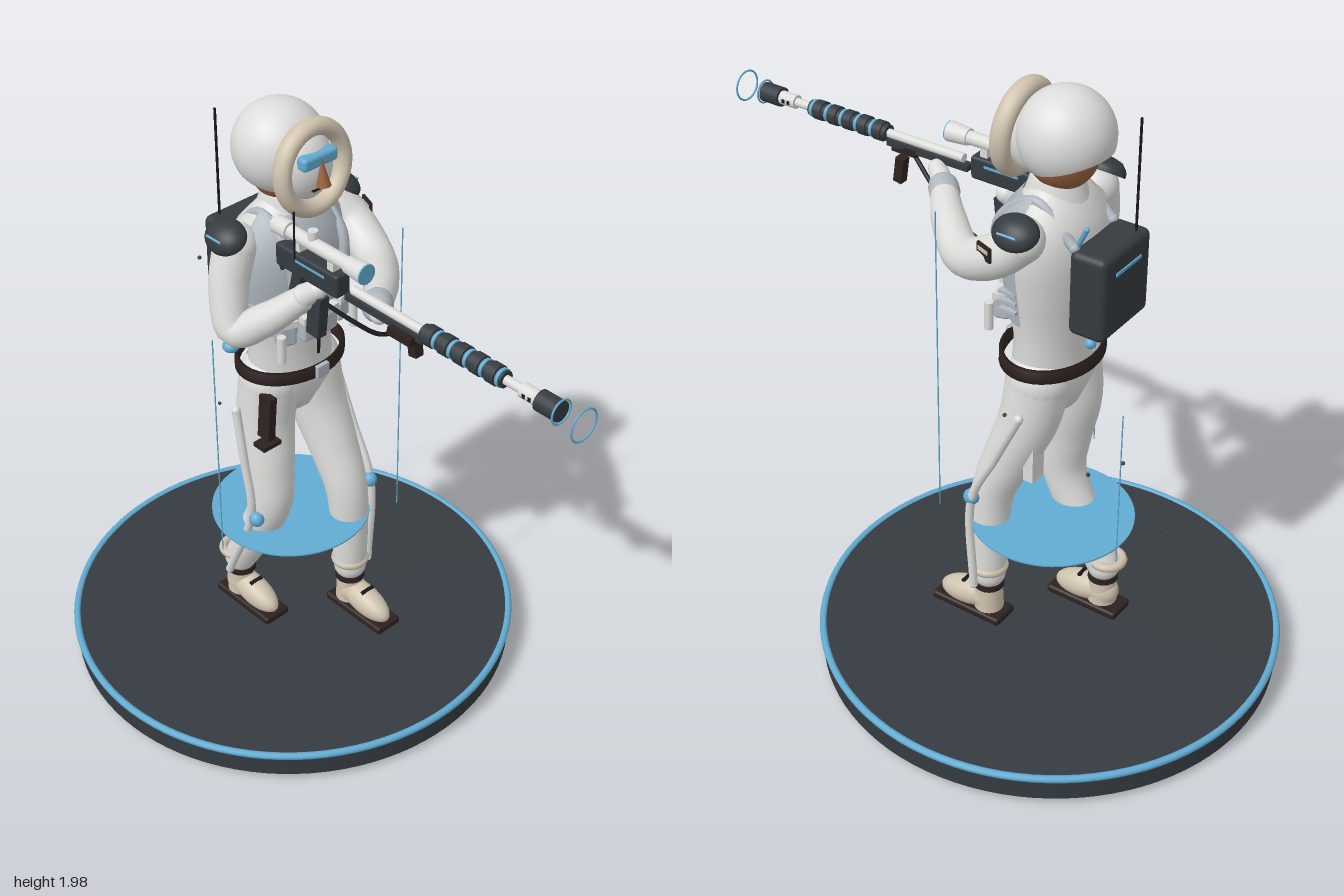
import * as THREE from 'three';
import { RoundedBoxGeometry } from 'three/addons/geometries/RoundedBoxGeometry.js';

const mat = (name, color, side = THREE.FrontSide) => Object.assign(new THREE.MeshStandardMaterial({ color, side }), { name });
const V = (p) => new THREE.Vector3(...p);

export function createModel() {
  const root = new THREE.Group();
  root.name = 'winterSoldier';
  const white = mat('snow white', 0xdcdcda, THREE.DoubleSide);
  const grey = mat('vest grey', 0xb0b8c0, THREE.DoubleSide);
  const slate = mat('dark slate', 0x353b40);
  const blue = mat('ice blue', 0x62abd2, THREE.DoubleSide);
  const cream = mat('fur cream', 0xcfc2ae);
  const leather = mat('dark leather', 0x2e2220, THREE.DoubleSide);
  const skin = mat('skin brown', 0x99623e);
  const black = mat('black', 0x16191c);

  // helpers
  const put = (name, geo, m, p = [0, 0, 0], r = [0, 0, 0], s = [1, 1, 1]) => {
    const mesh = new THREE.Mesh(geo, m);
    mesh.name = name;
    mesh.position.set(...p);
    mesh.rotation.set(...r);
    mesh.scale.set(...s);
    root.add(mesh);
    return mesh;
  };
  const box = (name, m, size, p, r) => put(name, new THREE.BoxGeometry(...size), m, p, r);
  const soft = (name, m, size, p, r, rad = 0.01) => put(name, new RoundedBoxGeometry(...size, 3, rad), m, p, r);
  const ball = (name, m, size, p, r) => put(name, new THREE.SphereGeometry(1, 28, 20), m, p, r, size);
  const rod = (name, m, r, y0, y1, x, z) => put(name, new THREE.CylinderGeometry(r, r, y1 - y0, 8), m, [x, (y0 + y1) / 2, z]);
  // tube whose radius follows the path, with rounded ends
  const limb = (name, m, pts, radii, sides = 20) => {
    const curve = new THREE.CatmullRomCurve3(pts.map(V), false, 'centripetal');
    const n = 32, geo = new THREE.TubeGeometry(curve, n, 1, sides);
    const pos = geo.attributes.position, v = new THREE.Vector3();
    for (let i = 0; i <= n; i++) {
      const c = curve.getPointAt(i / n), f = (i / n) * (radii.length - 1);
      const k = Math.min(Math.floor(f), radii.length - 2);
      const rad = THREE.MathUtils.lerp(radii[k], radii[k + 1], f - k);
      for (let j = 0; j <= sides; j++) {
        const id = i * (sides + 1) + j;
        v.fromBufferAttribute(pos, id).sub(c).multiplyScalar(rad).add(c);
        pos.setXYZ(id, v.x, v.y, v.z);
      }
    }
    put(name, geo, m);
    [0, radii.length - 1].forEach((k) => ball(name + 'End', m, Array(3).fill(radii[k]), pts[k ? pts.length - 1 : 0]));
  };
  const lathe = (name, m, profile, z, depth, start = 0, len = Math.PI * 2) =>
    put(name, new THREE.LatheGeometry(profile.map((p) => new THREE.Vector2(...p)), 40, start, len), m, [0, 0, z], [0, 0, 0], [1, 1, depth]);

  // display base and floating disc
  const bz = -0.255;
  put('base', new THREE.CylinderGeometry(0.735, 0.735, 0.085, 96), slate, [0, 0.0625, bz]);
  put('baseBevel', new THREE.CylinderGeometry(0.735, 0.71, 0.02, 96), slate, [0, 0.01, bz]);
  put('baseRim', new THREE.TorusGeometry(0.733, 0.012, 10, 96), blue, [0, 0.099, bz], [Math.PI / 2, 0, 0]);
  put('haloDisc', new THREE.CylinderGeometry(0.26, 0.26, 0.005, 64), blue, [0, 0.51, bz]);
  // floating threads and specks
  rod('thread', blue, 0.002, 0.56, 1.36, -0.345, -0.19);
  rod('thread', blue, 0.002, 0.56, 1.6, 0.215, 0.02);
  rod('thread', blue, 0.002, 0.555, 1.09, 0.13, -0.57);
  [[0.05, 0.67, -0.67], [0.1, 0.9, -0.56], [0.26, 0.95, -0.54], [-0.32, 1.6, -0.26], [0.33, 1.1, -0.3]]
    .forEach((p) => ball('speck', slate, [0.006, 0.006, 0.006], p));

  // legs, boots and side trim (left leg forward)
  const legs = [
    { s: 1, foot: -0.035, ankle: -0.1, knee: [0.187, 0.615, -0.08], z: [-0.25, -0.225, -0.165, -0.11, -0.1, -0.1],
      trim: [[0.2, 0.99, -0.26], [0.195, 0.8, -0.17], [0.195, 0.61, -0.085], [0.192, 0.27, -0.09]] },
    { s: -1, foot: -0.325, ankle: -0.38, knee: [-0.187, 0.58, -0.21], z: [-0.25, -0.26, -0.235, -0.225, -0.3, -0.38],
      trim: [[-0.195, 0.98, -0.28], [-0.195, 0.8, -0.25], [-0.19, 0.6, -0.23], [-0.185, 0.27, -0.36]] },
  ];
  const legX = [0.078, 0.092, 0.105, 0.112, 0.118, 0.12], legY = [1.07, 0.92, 0.76, 0.61, 0.43, 0.28];
  for (const { s, foot, ankle, knee, z, trim } of legs) {
    const x = s * 0.12;
    limb('trouserLeg', white, z.map((zz, i) => [s * legX[i], legY[i], zz]), [0.1, 0.092, 0.08, 0.068, 0.062, 0.054]);
    put('furCuff', new THREE.TorusGeometry(0.048, 0.015, 10, 28), cream, [x, 0.308, ankle + (s > 0 ? 0 : -0.015)], [Math.PI / 2, 0, 0]);
    put('bootShaft', new THREE.CylinderGeometry(0.043, 0.048, 0.12, 20), cream, [x, 0.2, ankle]);
    put('bootStrap', new THREE.CylinderGeometry(0.049, 0.049, 0.02, 20), leather, [x, 0.238, ankle]);
    ball('bootHeel', cream, [0.047, 0.055, 0.055], [x, 0.175, foot - 0.055]);
    ball('bootToe', cream, [0.048, 0.048, 0.11], [x, 0.165, foot + 0.01], [0.2, 0, 0]);
    soft('bootSole', leather, [0.1, 0.028, 0.26], [x, 0.12, foot - 0.002]);
    box('bootLace', black, [0.05, 0.008, 0.012], [x, 0.212, foot + 0.02], [0.4, 0, 0]);
    limb('legTrim', white, trim, [0.014, 0.014, 0.014], 10);
    ball('kneeLight', blue, [0.024, 0.026, 0.026], knee);
  }
  box('thighPouch', white, [0.06, 0.14, 0.035], [0.12, 0.8, -0.262]);
  box('holster', leather, [0.028, 0.15, 0.05], [-0.163, 1.0, -0.17], [0, 0, -0.08]);
  box('holsterHilt', leather, [0.07, 0.015, 0.05], [-0.165, 0.9, -0.17]);

  // torso, vest and belt
  lathe('hips', white, [[0.02, 0.93], [0.1, 0.96], [0.15, 1.05], [0.148, 1.13]], -0.25, 0.75);
  lathe('jacket', white, [[0.148, 1.1], [0.14, 1.2], [0.16, 1.32], [0.182, 1.45], [0.185, 1.53], [0.17, 1.61], [0.11, 1.665], [0.07, 1.7]], -0.245, 0.74);
  lathe('vest', grey, [[0.162, 1.28], [0.17, 1.34], [0.189, 1.45], [0.191, 1.53], [0.175, 1.615], [0.115, 1.672]], -0.245, 0.75, -1.5, 3);
  lathe('belt', leather, [[0.172, 1.115], [0.187, 1.115], [0.187, 1.155], [0.172, 1.155], [0.172, 1.115]], -0.245, 0.78);
  soft('buckle', grey, [0.05, 0.046, 0.016], [0, 1.135, -0.098], [0, 0, 0], 0.005);
  put('collar', new THREE.CylinderGeometry(0.075, 0.1, 0.08, 28), white, [0, 1.67, -0.245]);
  box('zip', black, [0.008, 0.4, 0.006], [0, 1.39, -0.104], [0.05, 0, 0]);
  box('chestPanel', leather, [0.12, 0.045, 0.012], [0, 1.435, -0.1]);
  [-0.107, -0.036, 0.036, 0.107].forEach((x) => {
    const z = -0.11 - Math.abs(x) * 0.3;
    soft('vestPouch', grey, [0.06, 0.085, 0.05], [x, 1.305, z], [0, x * 3, 0]);
    box('pouchFlap', white, [0.062, 0.022, 0.054], [x, 1.338, z], [0, x * 3, 0]);
  });
  for (const s of [-1, 1]) {
    limb('vestStrap', grey, [[s * 0.1, 1.45, -0.105], [s * 0.105, 1.58, -0.125], [s * 0.1, 1.665, -0.24], [s * 0.1, 1.56, -0.37]], [0.016, 0.016, 0.016], 8);
    [1.33, 1.36, 1.39].forEach((y) => box('sideBar', grey, [0.02, 0.01, 0.06], [s * 0.17, y, -0.2]));
    put('hipFlask', new THREE.CylinderGeometry(0.014, 0.014, 0.09, 12), white, [s * 0.145, 1.27, -0.115]);
    // shoulder pads
    const pad = put('shoulderPad', new THREE.SphereGeometry(1, 28, 12, 0, Math.PI * 2, 0, Math.PI * 0.55), slate, [s * 0.222, 1.628, -0.258], [0, 0, -s * 0.6], [0.058, 0.043, 0.072]);
    pad.material = slate;
    box('padStripe', blue, [0.006, 0.008, 0.06], [s * 0.268, 1.638, -0.258], [0, 0, -s * 0.6]);
  }

  // arms and hands
  limb('leftArm', white, [[0.19, 1.59, -0.255], [0.212, 1.53, -0.19], [0.185, 1.47, -0.06], [0.08, 1.49, 0.07], [-0.035, 1.515, 0.175]], [0.068, 0.064, 0.058, 0.052, 0.04]);
  limb('rightArm', white, [[-0.19, 1.59, -0.255], [-0.23, 1.47, -0.245], [-0.25, 1.35, -0.2], [-0.2, 1.4, -0.12], [-0.125, 1.48, -0.04]], [0.068, 0.06, 0.054, 0.05, 0.038]);
  ball('elbowLight', blue, [0.026, 0.02, 0.026], [-0.268, 1.3, -0.2]);
  limb('leftCuff', grey, [[-0.02, 1.512, 0.16], [-0.035, 1.515, 0.175]], [0.046, 0.046]);
  limb('leftGlove', white, [[-0.05, 1.52, 0.19], [-0.085, 1.54, 0.235]], [0.034, 0.028]);
  limb('rightGlove', white, [[-0.125, 1.49, -0.035], [-0.105, 1.52, 0.0]], [0.036, 0.03]);
  box('armPatch', leather, [0.008, 0.045, 0.06], [0.268, 1.565, -0.185], [0, -0.35, 0]);
  box('armPatchStripe', cream, [0.01, 0.012, 0.045], [0.269, 1.572, -0.185], [0, -0.35, 0]);

  // head, face and fur hood
  ball('head', skin, [0.105, 0.125, 0.11], [0, 1.8, -0.262]);
  ball('faceMask', white, [0.1, 0.115, 0.09], [0, 1.815, -0.185]);
  put('hood', new THREE.SphereGeometry(0.141, 40, 28, 0, Math.PI * 2, 0, 2.15), white, [0, 1.839, -0.272], [0.35, 0, 0]);
  put('furRing', new THREE.TorusGeometry(0.115, 0.025, 16, 48), cream, [0, 1.822, -0.13], [-0.08, 0, 0], [1, 1.07, 1.25]);
  soft('goggles', blue, [0.13, 0.042, 0.04], [0, 1.86, -0.11], [0, 0, 0], 0.012);
  put('nose', new THREE.ConeGeometry(0.022, 0.085, 16), skin, [0, 1.825, -0.088], [-0.1, 0, 0]);
  box('mouthSlit', leather, [0.05, 0.006, 0.008], [0, 1.765, -0.104]);

  // backpack
  soft('backpack', slate, [0.25, 0.27, 0.12], [0, 1.425, -0.427], [0, 0, 0], 0.022);
  box('packStripe', blue, [0.13, 0.01, 0.008], [0, 1.495, -0.487]);
  rod('antenna', black, 0.004, 1.54, 1.91, -0.08, -0.46);
  limb('packHose', blue, [[0.09, 1.55, -0.37], [0.1, 1.63, -0.41]], [0.008, 0.008], 8);
  rod('packCord', white, 0.006, 1.2, 1.3, 0.01, -0.38);
  ball('cordBead', blue, [0.017, 0.017, 0.017], [0.01, 1.2, -0.38]);

  // rifle, built along z
  const gx = -0.105, gy = 1.59;
  const barrel = (name, m, r, z0, z1, y = gy, r2 = r) =>
    put(name, new THREE.CylinderGeometry(r, r2, z1 - z0, 20), m, [gx, y, (z0 + z1) / 2], [Math.PI / 2, 0, 0]);
  barrel('muzzle', slate, 0.031, 0.85, 0.92);
  barrel('muzzleBrake', white, 0.022, 0.79, 0.85);
  barrel('rifleBarrel', white, 0.014, 0.15, 0.8);
  barrel('handguard', slate, 0.025, 0.43, 0.73);
  for (let i = 0; i < 5; i++) {
    barrel('handguardRib', slate, 0.031, 0.445 + i * 0.058, 0.475 + i * 0.058);
    barrel('handguardBand', blue, 0.028, 0.48 + i * 0.058, 0.49 + i * 0.058);
  }
  for (const z of [0.81, 0.83]) box('brakeSlot', black, [0.046, 0.012, 0.01], [gx, gy, z]);
  box('rail', slate, [0.03, 0.02, 0.3], [gx, 1.565, 0.28]);
  soft('receiver', slate, [0.055, 0.075, 0.26], [gx, 1.585, -0.02]);
  soft('stock', slate, [0.04, 0.08, 0.14], [gx, 1.565, -0.2]);
  box('receiverStripe', blue, [0.058, 0.008, 0.12], [gx, 1.6, 0.0]);
  box('magazine', slate, [0.035, 0.14, 0.05], [gx, 1.435, 0.0], [0.1, 0, 0]);
  box('pistolGrip', slate, [0.03, 0.1, 0.035], [gx, 1.51, -0.08], [0.25, 0, 0]);
  box('foreGripMount', leather, [0.05, 0.025, 0.09], [gx - 0.01, 1.555, 0.365]);
  box('foreGrip', leather, [0.03, 0.085, 0.03], [gx + 0.035, 1.505, 0.36], [-0.15, 0, 0]);
  barrel('scopeTube', white, 0.021, -0.16, 0.15, 1.665);
  barrel('scopeBell', white, 0.032, 0.13, 0.2, 1.665, 0.026);
  barrel('scopeEyepiece', white, 0.028, -0.17, -0.11, 1.665);
  barrel('scopeLens', blue, 0.031, 0.199, 0.204, 1.665);
  rod('scopeKnob', white, 0.016, 1.68, 1.71, gx, -0.015);
  for (const z of [-0.07, 0.07]) box('scopeMount', white, [0.03, 0.05, 0.025], [gx, 1.635, z]);
  rod('sightPost', black, 0.003, 1.62, 1.77, -0.145, -0.05);
  limb('sling', black, [[gx, 1.55, 0.34], [-0.07, 1.46, 0.22], [-0.02, 1.4, 0.06], [0, 1.385, -0.09]], [0.007, 0.007, 0.007], 8);
  put('aimRing', new THREE.TorusGeometry(0.048, 0.003, 8, 40), blue, [gx, gy, 0.997]);
  put('aimRingSmall', new THREE.TorusGeometry(0.036, 0.003, 8, 40), blue, [gx, gy, 0.921]);

  return root;
}
